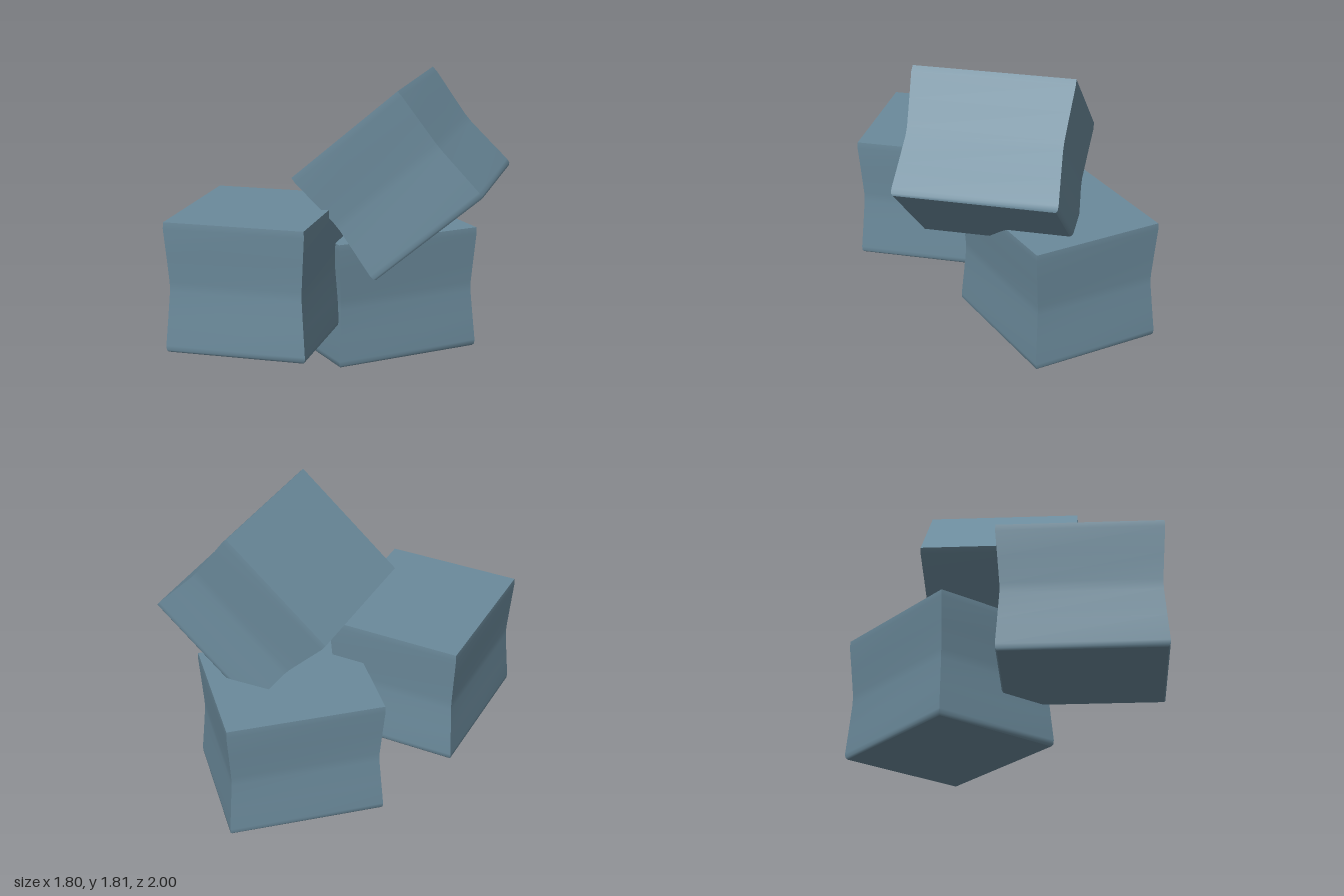
import * as THREE from 'three';

const W = 0.866, H = 0.804, D = 0.994; // block size
const PINCH = 0.024;                   // inset of each side at the waist
const material = new THREE.MeshStandardMaterial({ color: 0x6b8a9b });

// Heights of the rings and how far their sides are inset
const rings = [
  [H / 2, 0.002], [H / 2 - 0.04, 0], [H / 4, 0.012], [0.03, PINCH], [-0.03, PINCH],
  [-H / 4, 0.012], [-H / 2 + 0.04, 0], [-H / 2 + 0.012, 0.002], [-H / 2, 0.012],
];

// Box whose four sides draw in towards mid height, with a softened lower edge
function blockGeometry() {
  const n = rings.length - 1;
  const geo = new THREE.BoxGeometry(W, H, D, 1, n, 1);
  const pos = geo.attributes.position;
  for (let i = 0; i < pos.count; i++) {
    const ring = Math.round((0.5 - pos.getY(i) / H) * n);
    const [y, inset] = rings[ring];
    pos.setXYZ(i,
      Math.sign(pos.getX(i)) * (W / 2 - inset),
      y,
      Math.sign(pos.getZ(i)) * (D / 2 - inset));
  }
  geo.computeVertexNormals();
  return geo;
}

export function createModel() {
  const model = new THREE.Group();
  model.name = 'blockPile';
  const geometry = blockGeometry();

  const addBlock = (name, position, rotation) => {
    const block = new THREE.Mesh(geometry, material);
    block.name = name;
    block.position.set(...position);
    block.rotation.set(...rotation);
    model.add(block);
  };

  addBlock('frontBlock', [-0.473, 0.67, 0.498], [0, 0, 0]);
  addBlock('baseBlock', [0.062, 0.409, -0.348], [0, -0.842, 0]);   // turned on the ground
  addBlock('tippedBlock', [0.317, 1.236, -0.016], [0, 0, 0.705]); // leaning on top
  return model;
}
